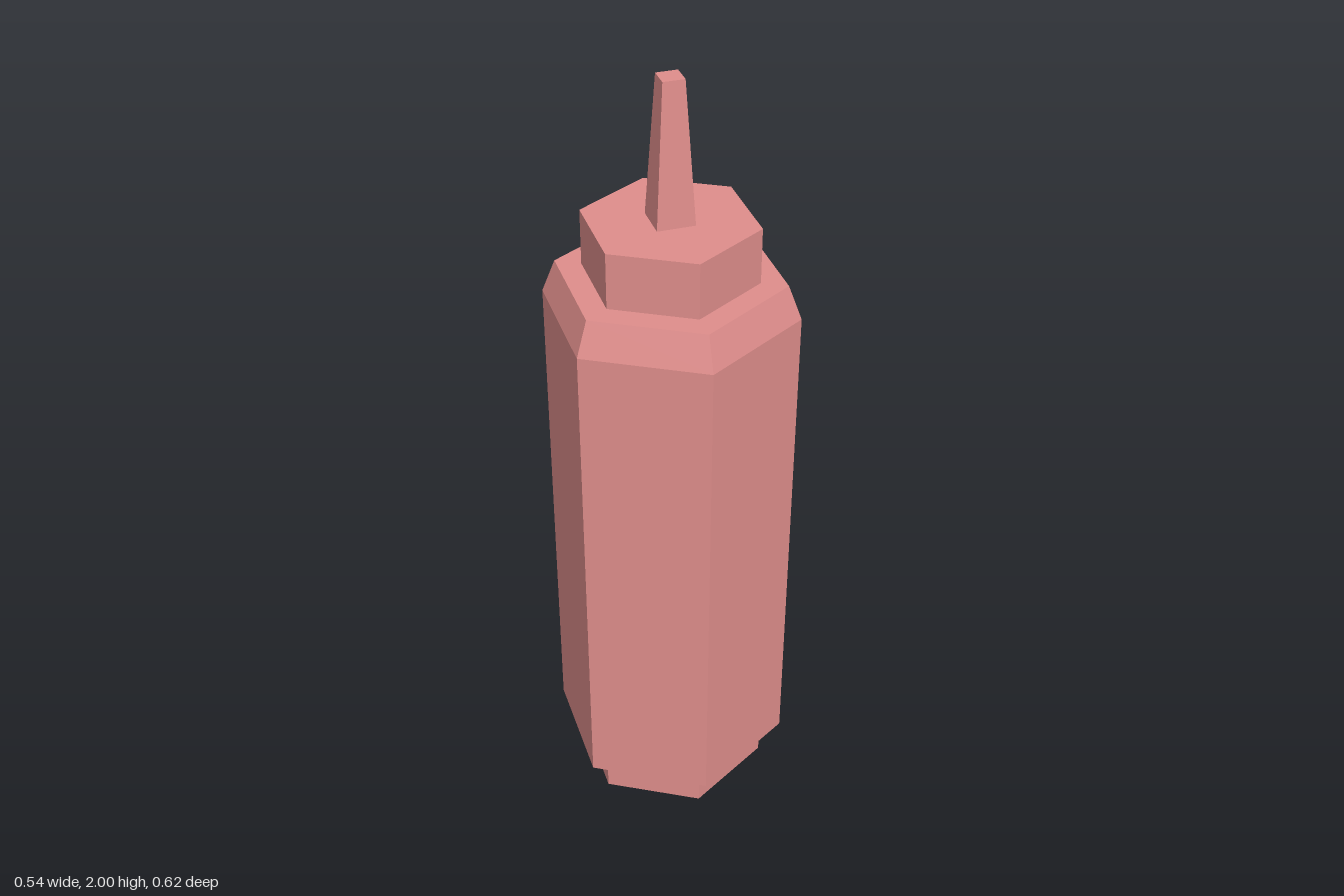
import * as THREE from 'three';

export function createModel() {
  const group = new THREE.Group();
  const material = new THREE.MeshStandardMaterial({ color: 0xe08e8c, flatShading: true });

  // Tapered prism between two heights; open drops the end caps
  function prism(name, sides, rBottom, rTop, y0, y1, open = false) {
    const geometry = new THREE.CylinderGeometry(rTop, rBottom, y1 - y0, sides, 1, open);
    if (sides === 4) geometry.rotateY(Math.PI / 4);
    geometry.translate(0, (y0 + y1) / 2, 0);
    const mesh = new THREE.Mesh(geometry, material);
    mesh.name = name;
    group.add(mesh);
  }

  // Hexagonal bottle, corners facing front and back
  prism('base', 6, 0.254, 0.254, 0, 0.11);

  // Body and bevelled shoulder as one closed six-sided turning
  const profile = [[0, 0.11], [0.31, 0.11], [0.31, 1.43], [0.277, 1.515], [0, 1.515]]
    .map(([r, y]) => new THREE.Vector2(r, y));
  const body = new THREE.Mesh(new THREE.LatheGeometry(profile, 6), material);
  body.name = 'body';
  group.add(body);

  prism('cap', 6, 0.212, 0.212, 1.515, 1.655);

  // Square tapered nozzle
  prism('nozzle', 4, 0.046 * Math.SQRT2, 0.026 * Math.SQRT2, 1.655, 2);

  return group;
}
